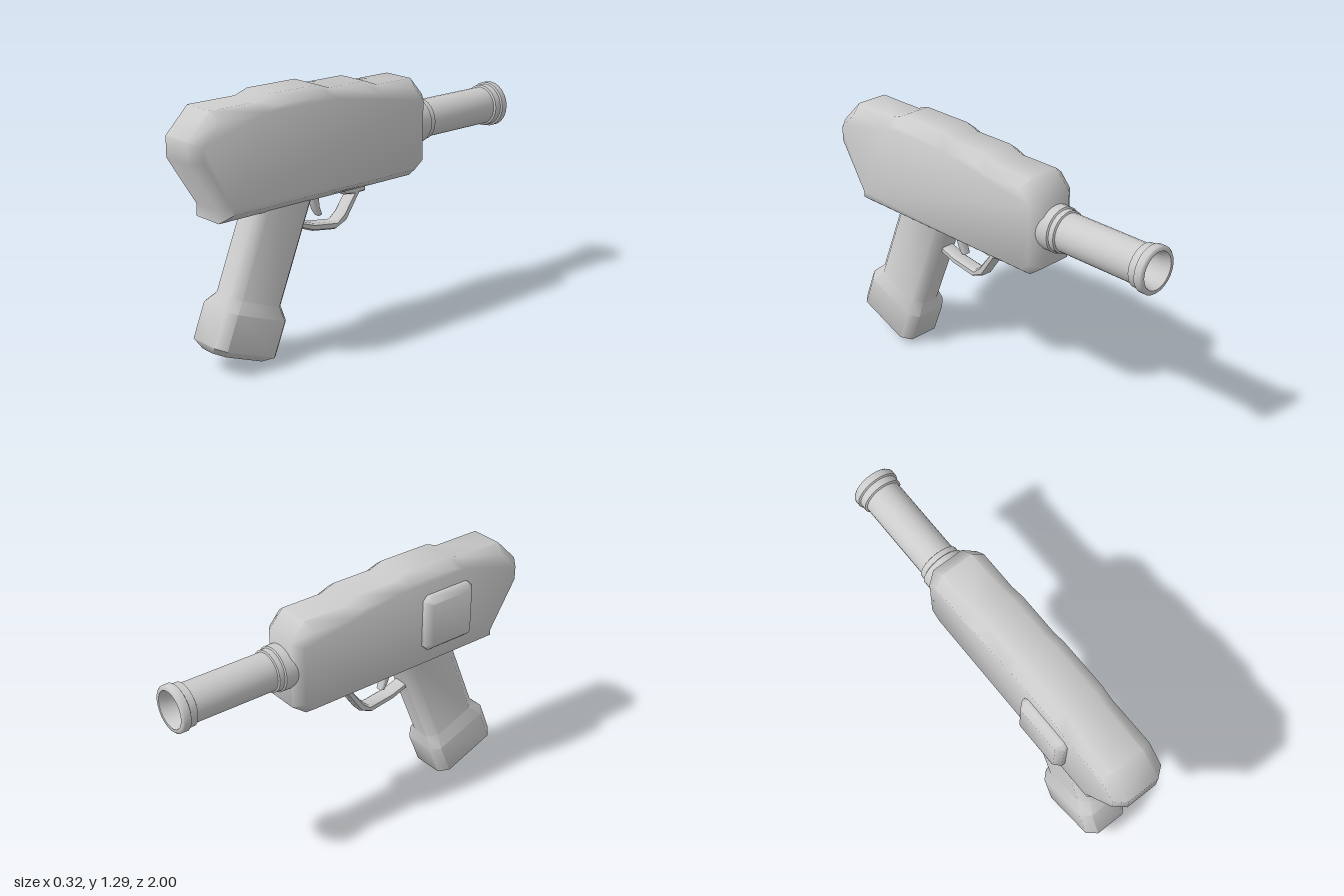
import * as THREE from 'three';
import { toCreasedNormals } from 'three/addons/utils/BufferGeometryUtils.js';

const CX = 0.022; // mid-plane of the body

export function createModel() {
  const group = new THREE.Group();
  const material = new THREE.MeshStandardMaterial({ color: 0xcccccc });

  function add(name, geometry, crease = 0.95) {
    const mesh = new THREE.Mesh(toCreasedNormals(geometry, crease), material);
    mesh.name = name;
    group.add(mesh);
  }

  // Plate from a [z, y] outline, spread across x, with one chamfer inside the outline
  function plate(outline, x, width, bevelX, bevelIn) {
    const shape = new THREE.Shape(outline.map(([z, y]) => new THREE.Vector2(z, y)));
    const depth = width - 2 * bevelX;
    const geometry = new THREE.ExtrudeGeometry(shape, {
      depth, curveSegments: 6, bevelEnabled: true, bevelSegments: 1,
      bevelThickness: bevelX, bevelSize: bevelIn, bevelOffset: -bevelIn,
    });
    return geometry.translate(0, 0, -depth / 2).rotateY(-Math.PI / 2).translate(x, 0, 0);
  }

  // Chamfered body with stepped top
  add('body', plate([
    [1, 1.15], [0.88, 1.27], [0.62, 1.27], [0.55, 1.295], [0.27, 1.295], [0.2, 1.27],
    [-0.02, 1.27], [-0.1, 1.24], [-0.32, 1.24], [-0.4, 1.15], [-0.4, 0.81], [-0.32, 0.75],
    [0.85, 0.75], [0.85, 0.81], [1, 1.05],
  ], CX, 0.276, 0.055, 0.042));

  // Raised panel on one side
  add('sidePanel', plate([
    [0.37, 0.87], [0.62, 0.87], [0.645, 0.895], [0.645, 1.14],
    [0.62, 1.165], [0.37, 1.165], [0.345, 1.14], [0.345, 0.895],
  ], -0.105, 0.12, 0.032, 0.028));

  // Trigger guard with its mount, and the trigger
  add('triggerGuard', plate([
    [0.4, 0.63], [0.34, 0.603], [0.26, 0.572], [0.12, 0.55], [0.05, 0.58], [-0.035, 0.705],
    [-0.075, 0.705], [-0.075, 0.78], [0.13, 0.78], [0.06, 0.712], [0.005, 0.705],
    [0.07, 0.62], [0.11, 0.588], [0.25, 0.608], [0.34, 0.638], [0.4, 0.66],
  ], CX, 0.075, 0.012, 0.008));
  add('trigger', plate([
    [0.27, 0.78], [0.25, 0.71], [0.23, 0.66], [0.21, 0.632], [0.19, 0.638],
    [0.205, 0.68], [0.21, 0.72], [0.205, 0.78],
  ], CX, 0.045, 0.008, 0.006));

  add('grip', gripGeometry());

  // Hollow barrel with stepped collar and flared muzzle: [radius, distance]
  const profile = [
    [0.113, 0.3], [0.113, 0.445], [0.105, 0.45], [0.105, 0.478], [0.096, 0.482],
    [0.096, 0.915], [0.106, 0.92], [0.106, 0.955], [0.115, 0.96], [0.115, 0.992],
    [0.108, 1], [0.092, 1], [0.078, 0.96], [0.07, 0.84], [0, 0.83],
  ].map(([r, d]) => new THREE.Vector2(r, d));
  add('barrel', new THREE.LatheGeometry(profile, 24)
    .rotateX(-Math.PI / 2).translate(CX, 0.995, 0));

  return group;
}

// Tilted grip: octagonal cross-sections lofted along its axis
function gripGeometry() {
  // [distance down the axis, half width, half depth]
  const sections = [
    [-0.68, 0.0925, 0.16], [-0.06, 0.0925, 0.16], [0, 0.125, 0.19],
    [0.177, 0.125, 0.19], [0.21, 0.083, 0.156],
  ];
  const positions = [];
  const index = [];
  const place = (s, x, u) => positions.push(CX + x, 0.37 * u - 0.93 * s, 0.93 * u + 0.37 * s);
  for (const [s, w, d] of sections) {
    const c = 0.045;
    const ring = [
      [w, d - c], [w - c, d], [c - w, d], [-w, d - c],
      [-w, c - d], [c - w, -d], [w - c, -d], [w, c - d],
    ];
    for (const [x, u] of ring) place(s, x, 0.7 + u);
  }
  for (let i = 0; i < sections.length - 1; i++) {
    for (let j = 0; j < 8; j++) {
      const a = i * 8 + j, b = i * 8 + (j + 1) % 8;
      index.push(a, b, a + 8, b, b + 8, a + 8);
    }
  }
  // End caps
  const last = (sections.length - 1) * 8;
  for (let j = 1; j < 7; j++) {
    index.push(0, j + 1, j);
    index.push(last, last + j, last + j + 1);
  }
  const geometry = new THREE.BufferGeometry();
  geometry.setAttribute('position', new THREE.Float32BufferAttribute(positions, 3));
  geometry.setIndex(index);
  // Corners run clockwise seen from outside, so flip them if the volume is negative
  return orientOutward(geometry);
}

function orientOutward(geometry) {
  const p = geometry.attributes.position, idx = geometry.index.array;
  const [a, b, c] = [0, 1, 2].map(() => new THREE.Vector3());
  let volume = 0;
  for (let i = 0; i < idx.length; i += 3) {
    a.fromBufferAttribute(p, idx[i]);
    b.fromBufferAttribute(p, idx[i + 1]);
    c.fromBufferAttribute(p, idx[i + 2]);
    volume += a.dot(b.cross(c));
  }
  if (volume < 0) for (let i = 0; i < idx.length; i += 3) [idx[i], idx[i + 1]] = [idx[i + 1], idx[i]];
  geometry.computeVertexNormals();
  return geometry;
}
